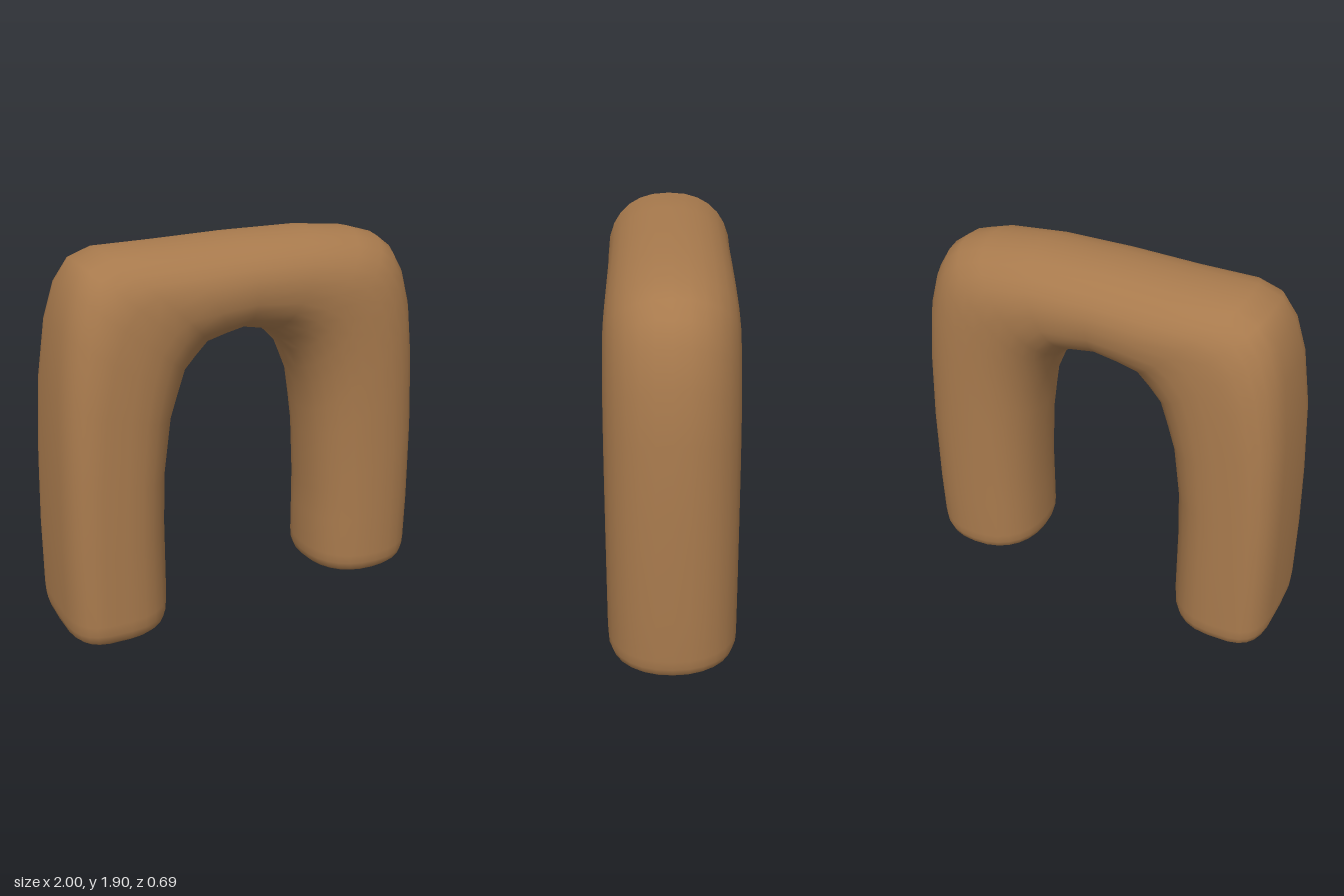
import * as THREE from 'three';

// Stations along the arch: outer x, outer y, inner x, inner y, half depth, outer squareness
const STATIONS = [
  [-1.0, 0.14, -0.45, 0.14, 0.345, 3.6],
  [-1.0, 0.5, -0.45, 0.55, 0.342, 3.6],
  [-0.99, 0.85, -0.44, 0.8, 0.338, 3.6],
  [-0.97, 1.25, -0.4, 1.07, 0.333, 3.4],
  [-0.93, 1.56, -0.36, 1.18, 0.33, 3.0],
  [-0.88, 1.74, -0.32, 1.29, 0.325, 2.7],
  [-0.81, 1.85, -0.26, 1.35, 0.318, 2.5],
  [-0.7, 1.895, -0.2, 1.41, 0.312, 2.3],
  [-0.4, 1.9, -0.11, 1.435, 0.306, 2.1],
  [-0.03, 1.905, -0.03, 1.455, 0.303, 2.1],
  [0.35, 1.9, 0.13, 1.42, 0.304, 2.1],
  [0.62, 1.872, 0.2, 1.355, 0.308, 2.1],
  [0.76, 1.83, 0.26, 1.29, 0.31, 2.1],
  [0.84, 1.77, 0.3, 1.19, 0.31, 2.1],
  [0.9, 1.67, 0.34, 1.09, 0.31, 2.1],
  [0.95, 1.5, 0.36, 0.95, 0.31, 2.1],
  [0.98, 1.25, 0.38, 0.8, 0.31, 2.1],
  [0.995, 0.85, 0.395, 0.5, 0.31, 2.2],
  [1.0, 0.4, 0.395, 0.35, 0.31, 2.2],
  [0.995, 0.15, 0.395, 0.15, 0.31, 2.2],
];
const SIDES = 28;

// Rounded cross-section between the outer and inner curves
function ring([ox, oy, ix, iy, depth, squareness]) {
  const pts = [];
  for (let j = 0; j < SIDES; j++) {
    const t = (j / SIDES) * Math.PI * 2;
    const c = Math.cos(t), s = Math.sin(t);
    const p = 2 / (c > 0 ? squareness : 2.3);
    const u = Math.sign(c) * Math.abs(c) ** p;
    const w = Math.sign(s) * Math.abs(s) ** p;
    pts.push([(ox + ix) / 2 + (u * (ox - ix)) / 2, (oy + iy) / 2 + (u * (oy - iy)) / 2, w * depth]);
  }
  return pts;
}

// Rings closing a leg with a softly rounded sole, from the leg down to the middle
function footRings(station, ground) {
  const [ox, oy, ix, , depth, squareness] = station;
  const mid = (ox + ix) / 2, h = oy - ground;
  return [[0.99, 0.6], [0.95, 0.3], [0.87, 0.12], [0.7, 0.04], [0.35, 0], [0.0001, 0]].map(([k, f]) => {
    const y = ground + h * f;
    return ring([mid + (ox - mid) * k, y, mid + (ix - mid) * k, y, depth * k, squareness]);
  });
}

function archGeometry() {
  const rings = [
    ...footRings(STATIONS[0], 0).reverse(),
    ...STATIONS.map(ring),
    ...footRings(STATIONS[STATIONS.length - 1], 0.03),
  ];
  const index = [];
  for (let i = 0; i < rings.length - 1; i++) {
    for (let j = 0; j < SIDES; j++) {
      const k = (j + 1) % SIDES;
      const a = i * SIDES + j, b = i * SIDES + k;
      const c = a + SIDES, d = b + SIDES;
      index.push(a, b, c, b, d, c);
    }
  }
  const geo = new THREE.BufferGeometry();
  geo.setAttribute('position', new THREE.Float32BufferAttribute(rings.flat(2), 3));
  geo.setIndex(index);
  // Turn the faces outward if the enclosed volume comes out negative
  const p = rings.flat();
  let volume = 0;
  for (let i = 0; i < index.length; i += 3) {
    const [a, b, c] = [0, 1, 2].map((n) => new THREE.Vector3(...p[index[i + n]]));
    volume += a.dot(b.cross(c));
  }
  if (volume < 0) geo.setIndex(index.reverse());
  geo.computeVertexNormals();
  return geo;
}

export function createModel() {
  const group = new THREE.Group();
  group.name = 'archModel';
  const clay = new THREE.MeshStandardMaterial({ color: 0xa87a4d });
  clay.name = 'warm brown';
  const arch = new THREE.Mesh(archGeometry(), clay);
  arch.name = 'arch';
  group.add(arch);
  return group;
}
